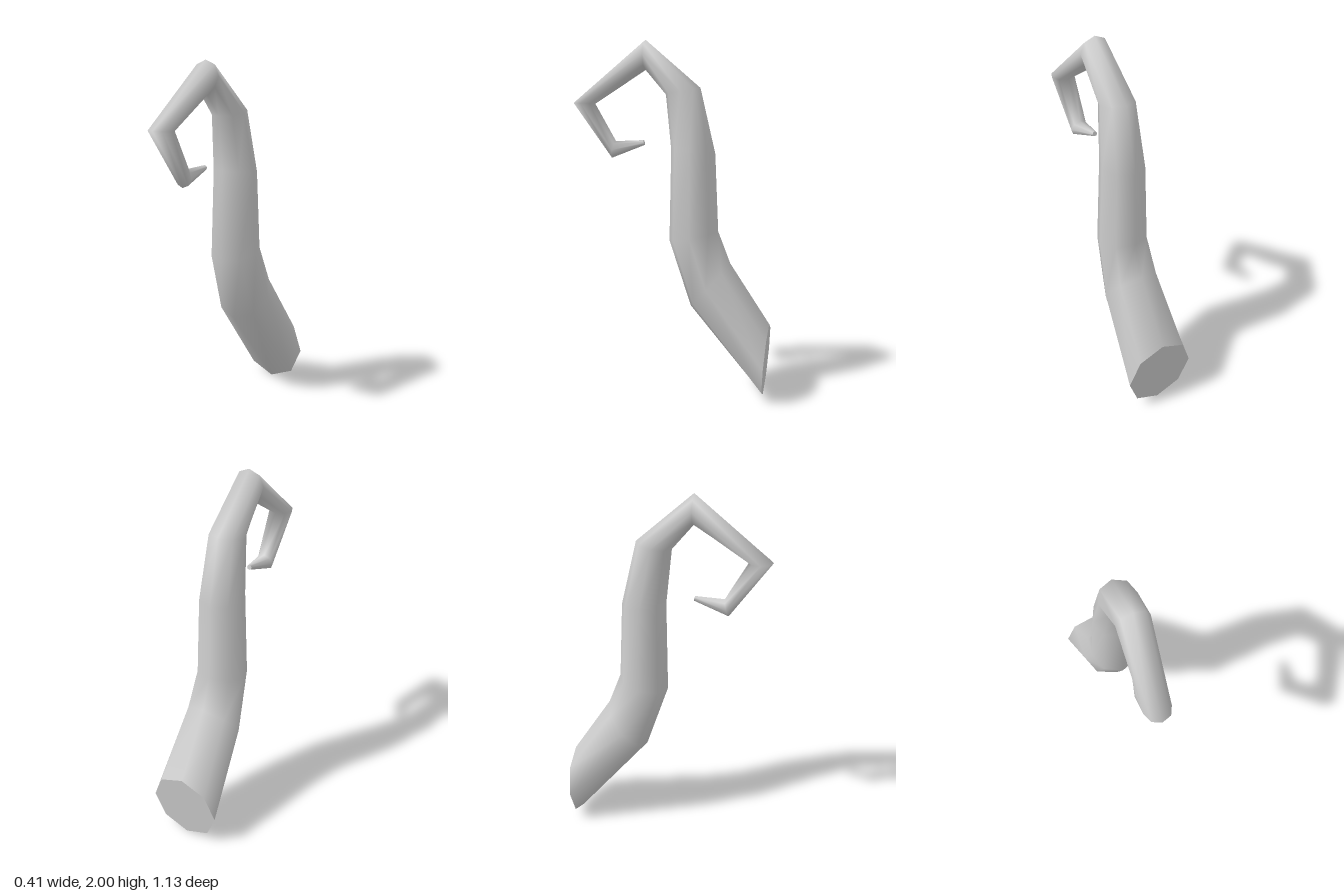
import * as THREE from 'three';

const SIDES = 8;

// Cross-sections from root to tip: [outer z, outer y, inner z, inner y, half width]
const SECTIONS = [
  [-0.565, 0.42, -0.535, 0.005, 0.205],
  [-0.34, 0.76, -0.115, 0.505, 0.167],
  [-0.27, 0.94, 0.01, 0.88, 0.143],
  [-0.25, 1.375, 0.0, 1.395, 0.125],
  [-0.165, 1.735, 0.03, 1.70, 0.1],
  [0.145, 2.0, 0.145, 1.835, 0.085],
  [0.57, 1.655, 0.44, 1.65, 0.07],
  [0.345, 1.345, 0.32, 1.44, 0.05],
  [0.152, 1.42, 0.158, 1.447, 0.014],
];

// Eight-sided ring lying across the bend, widest along x
function ring([oz, oy, iz, iy, halfWidth]) {
  const points = [];
  for (let i = 0; i < SIDES; i++) {
    const a = (i / SIDES) * Math.PI * 2;
    const c = Math.cos(a) / 2;
    points.push(
      halfWidth * Math.sin(a),
      (oy + iy) / 2 + (oy - iy) * c,
      (oz + iz) / 2 + (oz - iz) * c
    );
  }
  return points;
}

function makeMesh(name, positions, indices, material) {
  const geometry = new THREE.BufferGeometry();
  geometry.setAttribute('position', new THREE.Float32BufferAttribute(positions, 3));
  geometry.setIndex(indices);
  geometry.computeVertexNormals();
  const mesh = new THREE.Mesh(geometry, material);
  mesh.name = name;
  return mesh;
}

// Flat end closing one ring
function makeCap(name, section, flip, material) {
  const indices = [];
  for (let i = 1; i < SIDES - 1; i++) {
    indices.push(0, ...(flip ? [i + 1, i] : [i, i + 1]));
  }
  return makeMesh(name, ring(section), indices, material);
}

export function createModel() {
  const model = new THREE.Group();
  model.name = 'curledTail';
  const material = new THREE.MeshStandardMaterial({ color: 0xcccccc });

  // Smooth skin joining neighbouring rings
  const indices = [];
  for (let s = 0; s < SECTIONS.length - 1; s++) {
    for (let i = 0; i < SIDES; i++) {
      const a = s * SIDES + i;
      const b = s * SIDES + ((i + 1) % SIDES);
      indices.push(a, a + SIDES, b, b, a + SIDES, b + SIDES);
    }
  }
  model.add(makeMesh('tailSkin', SECTIONS.flatMap(ring), indices, material));

  // Root and tip ends
  model.add(makeCap('rootEnd', SECTIONS[0], false, material));
  model.add(makeCap('tipEnd', SECTIONS[SECTIONS.length - 1], true, material));
  return model;
}
